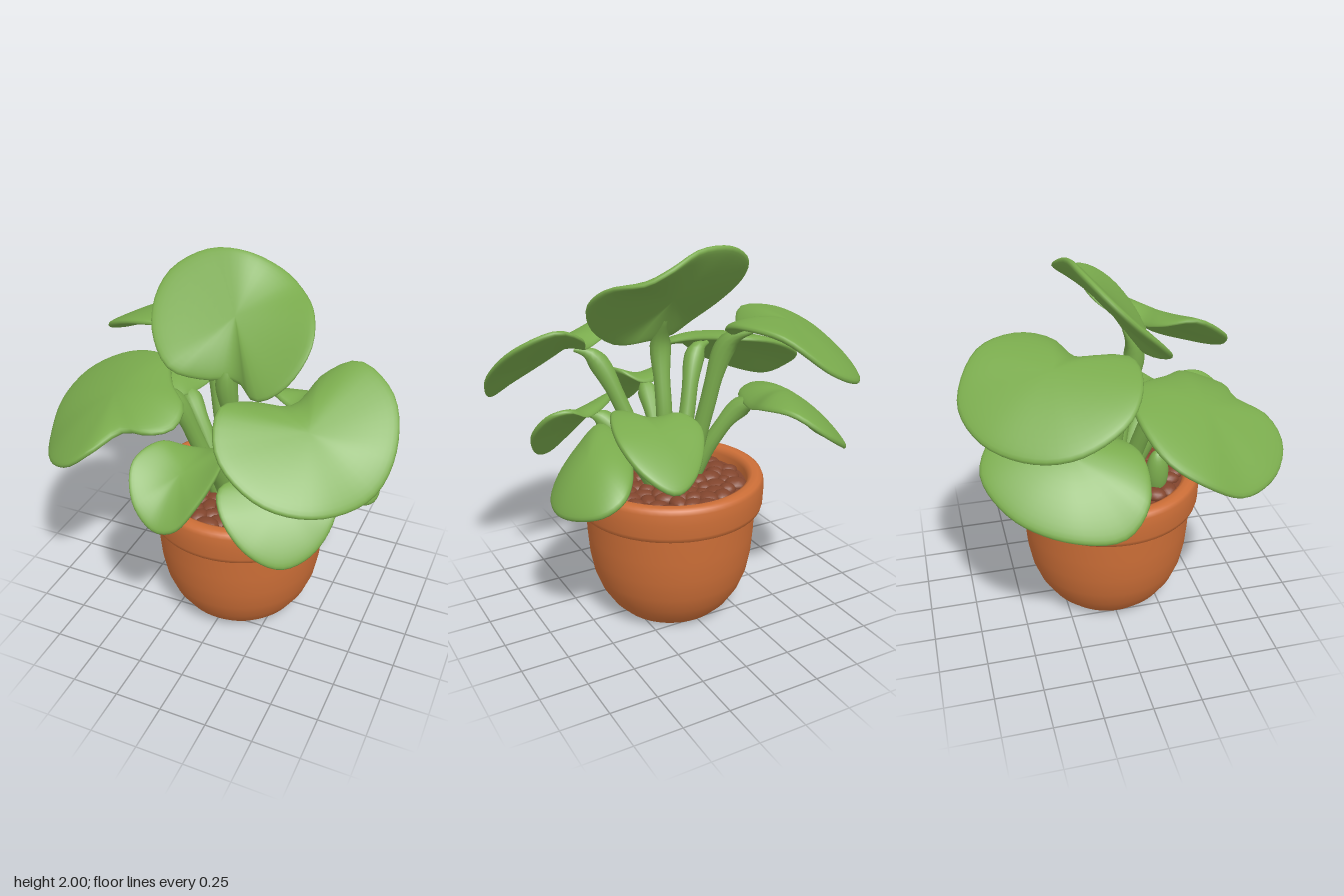
import * as THREE from 'three';
import { mergeVertices } from 'three/addons/utils/BufferGeometryUtils.js';

const V = (p) => new THREE.Vector3(...p);

// Cushion-like leaf blade: a closed outline domed towards its centre, with a rounded rim
function bladeGeometry(centre, outline) {
  const N = 48, K = 24, thick = 0.03;
  const curve = new THREE.CatmullRomCurve3(outline.map(V), true);
  let rim = curve.getSpacedPoints(N).slice(0, N);
  const c = V(centre);
  const normalOf = (pts) => {
    const n = new THREE.Vector3();
    pts.forEach((p, i) => n.add(p.clone().sub(c).cross(pts[(i + 1) % N].clone().sub(c))));
    return n.normalize();
  };
  if (normalOf(rim).y < 0) rim = rim.reverse();
  const n = normalOf(rim);
  const pos = [], idx = [];
  for (let j = 0; j <= K; j++) {
    const a = (j / K) * Math.PI;
    const t = j === K ? 0 : Math.sin(a), k = Math.cos(a);
    const off = thick * Math.sign(k) * Math.pow(Math.abs(k), 0.55);
    rim.forEach((p, i) => {
      // the mean tilt grows linearly, the curl of the edge quadratically
      const dx = p.x - c.x, dz = p.z - c.z;
      const tilt = -(n.x * dx + n.z * dz) / n.y;
      pos.push(
        c.x + dx * t + n.x * off,
        c.y + tilt * t + (p.y - c.y - tilt) * t * t + n.y * off,
        c.z + dz * t + n.z * off);
      if (j === K) return;
      const i2 = (i + 1) % N, A = j * N + i, B = j * N + i2, C = A + N, D = B + N;
      if (j > 0) idx.push(A, D, B);
      if (j < K - 1) idx.push(A, C, D);
      else idx.push(A, C, B);
    });
  }
  let g = new THREE.BufferGeometry();
  g.setAttribute('position', new THREE.Float32BufferAttribute(pos, 3));
  g.setIndex(idx);
  g = mergeVertices(g, 1e-5);
  g.computeVertexNormals();
  return g;
}

// Bent stalk that swells at the joint and thins out inside the blade
function stemGeometry(base, joint, centre) {
  const b = V(base), e = V(joint), c = V(centre);
  const mid = b.clone().lerp(e, 0.5);
  mid.x -= (e.x - b.x) * 0.08;
  mid.z -= (e.z - b.z) * 0.08;
  const end = e.clone().lerp(c, 0.4);
  const curve = new THREE.CatmullRomCurve3([b, mid, e.clone().setY(e.y - 0.03), end]);
  const S = 28, R = 12;
  const g = new THREE.TubeGeometry(curve, S, 0.043, R);
  const p = g.attributes.position, v = new THREE.Vector3();
  for (let i = 0; i <= S; i++) {
    const u = i / S, o = curve.getPointAt(u);
    const s = 1 + 0.3 * THREE.MathUtils.smoothstep(u, 0.6, 0.82) - 1.0 * THREE.MathUtils.smoothstep(u, 0.82, 1);
    for (let j = 0; j <= R; j++) {
      const k = i * (R + 1) + j;
      v.fromBufferAttribute(p, k).sub(o).multiplyScalar(s).add(o);
      p.setXYZ(k, v.x, v.y, v.z);
    }
  }
  return g;
}

// Each leaf: stalk base, stalk joint, blade centre, blade outline
const LEAVES = {
  topLeaf: [[0.03, 0.7, 0.03], [0, 1.49, 0.15], [0, 1.73, 0.02], [
    [-0.43, 1.77, 0.05], [-0.39, 1.89, -0.07], [-0.23, 1.98, -0.17], [-0.04, 1.985, -0.2], [0.14, 1.91, -0.23],
    [0.25, 1.85, -0.19], [0.38, 1.8, -0.02], [0.42, 1.69, 0.13], [0.34, 1.53, 0.25], [0.2, 1.44, 0.27],
    [0.06, 1.47, 0.17], [-0.1, 1.47, 0.22], [-0.25, 1.52, 0.27], [-0.38, 1.64, 0.18]]],
  backRightUpperLeaf: [[-0.07, 0.7, -0.03], [-0.23, 1.54, -0.16], [-0.45, 1.6, -0.35], [
    [-0.84, 1.39, -0.3], [-0.79, 1.5, -0.08], [-0.63, 1.59, 0.02], [-0.4, 1.62, 0.02], [-0.25, 1.55, -0.18],
    [-0.12, 1.62, -0.29], [-0.1, 1.66, -0.45], [-0.2, 1.64, -0.66], [-0.4, 1.48, -0.78], [-0.62, 1.38, -0.7],
    [-0.78, 1.35, -0.5]]],
  frontLeftUpperLeaf: [[0.09, 0.7, 0.08], [0.34, 1.43, 0.27], [0.52, 1.42, 0.42], [
    [0.13, 1.53, 0.53], [0.2, 1.4, 0.72], [0.42, 1.25, 0.78], [0.66, 1.18, 0.69], [0.85, 1.2, 0.47],
    [0.9, 1.35, 0.3], [0.82, 1.53, 0.1], [0.62, 1.62, 0.01], [0.47, 1.55, 0.07], [0.38, 1.45, 0.25],
    [0.21, 1.49, 0.36]]],
  frontRightUpperLeaf: [[-0.08, 0.7, 0.08], [-0.27, 1.38, 0.24], [-0.5, 1.36, 0.35], [
    [-0.9, 1.19, 0.25], [-0.83, 1.3, 0.08], [-0.62, 1.41, 0], [-0.4, 1.45, 0.03], [-0.24, 1.42, 0.25],
    [-0.13, 1.38, 0.36], [-0.13, 1.33, 0.48], [-0.22, 1.32, 0.56], [-0.35, 1.31, 0.57], [-0.45, 1.25, 0.7],
    [-0.57, 1.16, 0.74], [-0.73, 1.09, 0.65], [-0.86, 1.08, 0.45]]],
  frontLeaf: [[0, 0.7, 0.12], [-0.03, 1.16, 0.38], [-0.05, 1.13, 0.56], [
    [0, 1.18, 0.36], [0.11, 1.24, 0.41], [0.15, 1.22, 0.57], [0.09, 1.08, 0.71], [0, 0.96, 0.77],
    [-0.1, 0.94, 0.78], [-0.22, 1.05, 0.75], [-0.28, 1.19, 0.62], [-0.21, 1.23, 0.46], [-0.1, 1.18, 0.38]]],
  frontLeftLowerLeaf: [[0.09, 0.7, 0.12], [0.28, 1.06, 0.31], [0.4, 1.01, 0.43], [
    [0.12, 1.08, 0.52], [0.17, 1, 0.62], [0.32, 0.85, 0.66], [0.48, 0.77, 0.61], [0.6, 0.82, 0.5],
    [0.66, 0.98, 0.36], [0.6, 1.12, 0.23], [0.5, 1.14, 0.2], [0.4, 1.09, 0.23], [0.25, 1.09, 0.34]]],
  leftLowerLeaf: [[0.11, 0.7, 0], [0.34, 1.02, -0.01], [0.54, 0.98, -0.13], [
    [0.36, 1.06, 0.15], [0.5, 0.96, 0.13], [0.64, 0.85, 0.06], [0.72, 0.78, -0.04], [0.735, 0.76, -0.17],
    [0.68, 0.78, -0.31], [0.59, 0.82, -0.4], [0.49, 0.88, -0.41], [0.39, 0.96, -0.3], [0.33, 1.03, -0.08]]],
  backLeftLeaf: [[0.06, 0.7, -0.07], [0.22, 1.15, -0.19], [0.28, 1.16, -0.35], [
    [0.04, 1.15, -0.35], [0.18, 1.01, -0.56], [0.33, 0.97, -0.63], [0.45, 1.05, -0.55], [0.5, 1.16, -0.38],
    [0.45, 1.22, -0.18], [0.38, 1.21, -0.09], [0.24, 1.17, -0.17], [0.1, 1.2, -0.24]]],
  rightLowerLeaf: [[-0.1, 0.7, 0], [-0.32, 1.15, -0.12], [-0.52, 1.2, -0.3], [
    [-0.82, 0.91, -0.1], [-0.75, 1.04, 0.03], [-0.54, 1.17, 0.05], [-0.37, 1.18, -0.04], [-0.3, 1.17, -0.25],
    [-0.25, 1.23, -0.45], [-0.31, 1.24, -0.62], [-0.46, 1.13, -0.71], [-0.66, 1, -0.6], [-0.8, 0.92, -0.35]]],
};

export function createModel() {
  const model = new THREE.Group();
  const paint = (name, color) => {
    const m = new THREE.MeshStandardMaterial({ color });
    m.name = name;
    return m;
  };
  const green = paint('leaf green', 0x7aab4d);
  const terracotta = paint('terracotta', 0xcc6e37);
  const earth = paint('soil brown', 0x82452d);
  const add = (parent, name, geometry, material) => {
    const mesh = new THREE.Mesh(geometry, material);
    mesh.name = name;
    parent.add(mesh);
    return mesh;
  };
  const lathe = (pts) => new THREE.LatheGeometry(pts.map((p) => new THREE.Vector2(...p)), 64);

  // Pot: rounded body with a recessed foot, and a thick collar
  const pot = new THREE.Group();
  pot.name = 'pot';
  pot.position.set(0.02, 0, 0.01);
  model.add(pot);
  add(pot, 'potBody', lathe([[0, 0.03], [0.14, 0.03], [0.17, 0.005], [0.26, 0], [0.285, 0.01], [0.335, 0.06],
    [0.387, 0.14], [0.422, 0.23], [0.443, 0.34], [0.453, 0.46], [0.457, 0.62]]), terracotta);
  add(pot, 'potRim', lathe([[0.44, 0.605], [0.475, 0.598], [0.491, 0.606], [0.498, 0.63], [0.501, 0.7],
    [0.499, 0.755], [0.49, 0.777], [0.47, 0.786], [0.44, 0.785], [0.422, 0.775], [0.412, 0.75],
    [0.41, 0.68]]), terracotta);

  // Soil: a flat bed covered with flattened clods in a sunflower pattern, mossy in one spot
  const bed = add(pot, 'soilBed', new THREE.CircleGeometry(0.415, 48), earth);
  bed.rotation.x = -Math.PI / 2;
  bed.position.y = 0.71;
  const clod = mergeVertices(new THREE.IcosahedronGeometry(0.055, 2).deleteAttribute('normal').deleteAttribute('uv'));
  clod.computeVertexNormals();
  for (let i = 0; i < 75; i++) {
    const r = 0.37 * Math.sqrt((i + 0.5) / 75), a = i * 2.39996;
    const x = r * Math.cos(a), z = r * Math.sin(a);
    const mossy = Math.hypot(x - 0.37, z + 0.05) < 0.09;
    const m = add(pot, mossy ? 'mossClod' : 'soilClod', clod, mossy ? green : earth);
    m.position.set(x, 0.715 + 0.01 * Math.sin(i * 5.3), z);
    m.scale.set(1 + 0.2 * Math.sin(i * 3.1), 0.65, 1 + 0.2 * Math.cos(i * 1.7));
    m.rotation.y = i;
  }

  // Small bud beside the stalks
  const sprout = add(model, 'sprout', new THREE.SphereGeometry(1, 20, 14), green);
  sprout.scale.set(0.05, 0.13, 0.06);
  sprout.position.set(-0.17, 0.83, 0.24);

  // Leaves with their stalks
  for (const [name, [base, joint, centre, outline]] of Object.entries(LEAVES)) {
    const leaf = new THREE.Group();
    leaf.name = name;
    add(leaf, 'blade', bladeGeometry(centre, outline), green);
    add(leaf, 'stem', stemGeometry(base, joint, centre), green);
    model.add(leaf);
  }
  return model;
}
